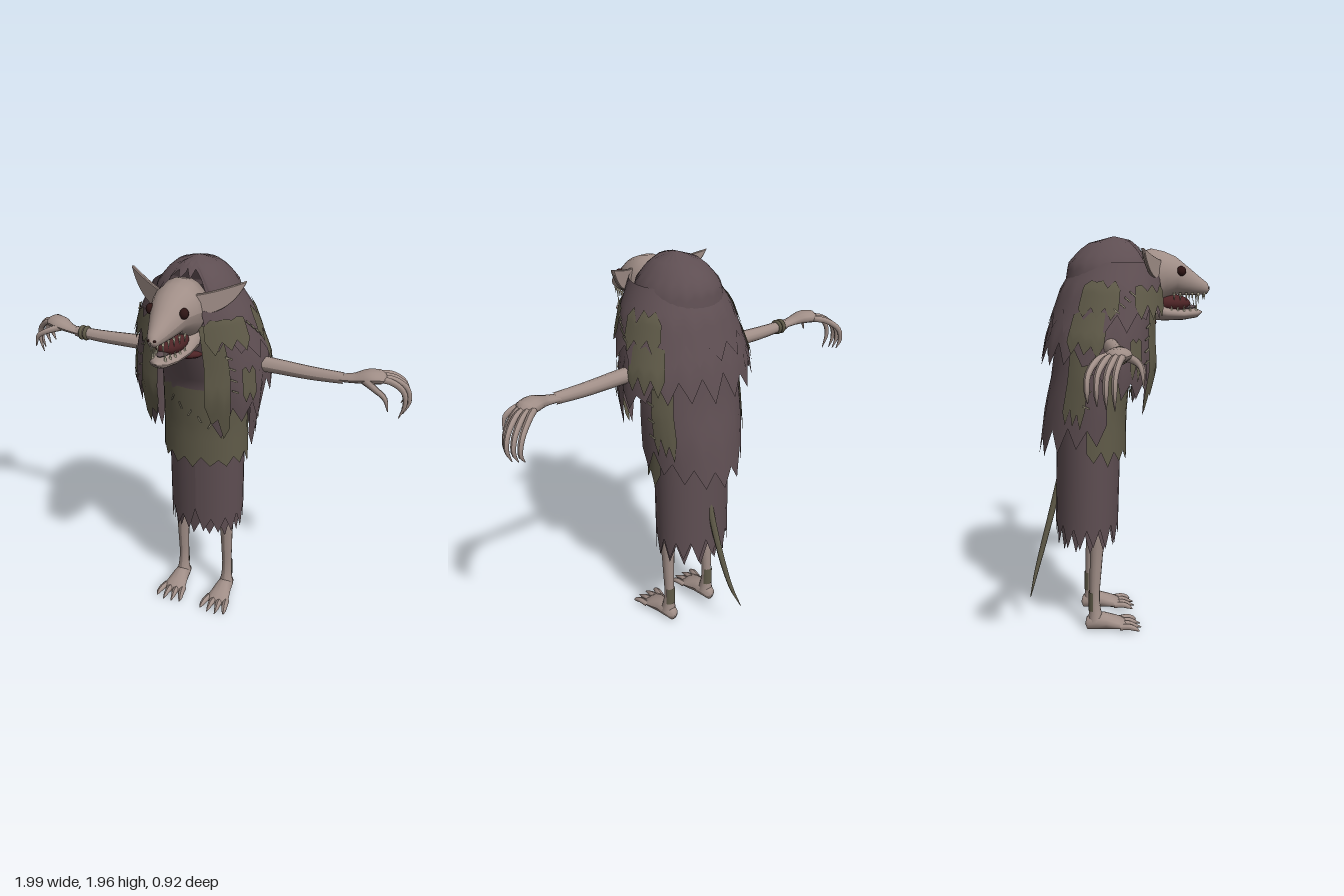
import * as THREE from 'three';

const paint = (name, color, side = THREE.FrontSide) => {
  const m = new THREE.MeshStandardMaterial({ color, side });
  m.name = name;
  return m;
};

export function createModel() {
  const model = new THREE.Group();
  model.name = 'hoodedRatCreature';
  const plum = paint('plum cloth', 0x5e4e52, THREE.DoubleSide);
  const olive = paint('olive cloth', 0x5f5a48, THREE.DoubleSide);
  const skin = paint('pale skin', 0xa08e87);
  const mouthRed = paint('mouth red', 0x4e2426);
  const eyeDark = paint('eye dark', 0x2e1514);
  const ivory = paint('tooth ivory', 0xcfc6ae);
  const thread = paint('thread', 0x8d8672);

  let seed = 7;
  const rnd = () => (seed = (seed * 16807) % 2147483647) / 2147483647;
  const add = (name, geo, mat) => {
    const m = new THREE.Mesh(geo, mat);
    m.name = name;
    model.add(m);
    return m;
  };
  const gridMesh = (name, pos, rows, cols, mat) => {
    const idx = [];
    for (let i = 0; i < rows; i++) for (let j = 0; j < cols; j++) {
      const a = i * (cols + 1) + j, b = a + cols + 1;
      idx.push(a, a + 1, b, a + 1, b + 1, b);
    }
    const g = new THREE.BufferGeometry();
    g.setAttribute('position', new THREE.Float32BufferAttribute(pos, 3));
    g.setIndex(idx);
    g.computeVertexNormals();
    return add(name, g, mat);
  };

  // Elliptical cloth profiles, top to bottom: [y, centre z, radius x, radius z]
  const hoodP = [[1.962, -0.02, 0.005, 0.005], [1.945, -0.03, 0.08, 0.09], [1.9, -0.035, 0.135, 0.15], [1.84, -0.04, 0.185, 0.2], [1.75, -0.045, 0.215, 0.21], [1.6, -0.04, 0.26, 0.23]];
  const capeletP = [[1.85, 0, 0.19, 0.2], [1.72, -0.03, 0.265, 0.25], [1.5, -0.06, 0.34, 0.3]];
  const shoulderP = [[1.75, -0.04, 0.2, 0.2], [1.65, -0.06, 0.28, 0.24], [1.5, -0.09, 0.33, 0.265], [1.35, -0.1, 0.345, 0.285], [1.05, -0.1, 0.31, 0.22]];
  const capeP = [[1.7, -0.1, 0.22, 0.18], [1.3, -0.13, 0.265, 0.2], [1.15, -0.14, 0.262, 0.225], [0.85, -0.15, 0.245, 0.255]];
  const robeP = [[1.62, -0.02, 0.19, 0.2], [1.35, -0.1, 0.21, 0.16], [1.1, -0.13, 0.22, 0.17], [0.85, -0.135, 0.228, 0.175]];
  const skirtP = [[1.2, -0.14, 0.195, 0.16], [0.95, -0.15, 0.2, 0.16], [0.4, -0.165, 0.2, 0.16]];

  // Point on a profile; angle in degrees, 0 at the front
  const onCloth = (prof, y, deg, off = 0) => {
    let k = 0;
    while (k < prof.length - 2 && y < prof[k + 1][0]) k++;
    const p = prof[k], q = prof[k + 1];
    const t = THREE.MathUtils.clamp((p[0] - y) / (p[0] - q[0]), 0, 1);
    const [cz, rx, rz] = [1, 2, 3].map(i => p[i] + (q[i] - p[i]) * t);
    const a = deg * Math.PI / 180;
    return [(rx + off) * Math.sin(a), y, cz + (rz + off) * Math.cos(a)];
  };

  // Ragged cloth between two angles; top and bottom may depend on the angle
  const cloth = (name, mat, prof, from, to, top, bottom, teeth, depth, off = 0, topDepth = 0) => {
    const cols = teeth * 2, rows = 10, pos = [], ends = [];
    const at = (v, d) => typeof v === 'function' ? v(Math.abs(d > 180 ? d - 360 : d)) : v;
    for (let j = 0; j <= cols; j++) {
      const d = from + (to - from) * j / cols;
      const jag = j % 2 ? -rnd() * 0.025 : depth * (0.6 + 0.4 * rnd());
      ends.push([d, at(top, d) - (j % 2 ? 0 : topDepth * rnd()), at(bottom, d) + jag]);
    }
    for (let i = 0; i <= rows; i++) for (const [d, t, b] of ends) pos.push(...onCloth(prof, t + (b - t) * i / rows, d, off));
    gridMesh(name, pos, rows, cols, mat);
  };

  // Tapered tube through points [x, y, z, radius]
  const limb = (name, mat, pts, radial = 10, flat = 1, n = 14) => {
    const curve = new THREE.CatmullRomCurve3(pts.map(p => new THREE.Vector3(p[0], p[1], p[2])));
    const g = new THREE.TubeGeometry(curve, n, 1, radial);
    const v = g.attributes.position;
    for (let i = 0; i <= n; i++) {
      const u = curve.getUtoTmapping(i / n), c = curve.getPoint(u);
      const k = Math.min(Math.floor(u * (pts.length - 1)), pts.length - 2), f = u * (pts.length - 1) - k;
      const r = pts[k][3] + (pts[k + 1][3] - pts[k][3]) * f;
      for (let j = 0; j <= radial; j++) {
        const q = i * (radial + 1) + j;
        v.setXYZ(q, c.x + (v.getX(q) - c.x) * r, c.y + (v.getY(q) - c.y) * r * flat, c.z + (v.getZ(q) - c.z) * r);
      }
    }
    g.computeVertexNormals();
    return add(name, g, mat);
  };

  // Loft of ellipses along z: [z, centre y, radius x, radius y]
  const loft = (name, mat, secs, cx = 0, n = 18) => {
    const pos = [];
    for (const [z, y, rx, ry] of secs) for (let j = 0; j <= n; j++) {
      const a = j / n * Math.PI * 2;
      pos.push(cx + rx * Math.cos(a), y + ry * Math.sin(a), z);
    }
    return gridMesh(name, pos, secs.length - 1, n, mat);
  };
  const ball = (name, mat, x, y, z, sx, sy, sz) => {
    const m = add(name, new THREE.SphereGeometry(1, 14, 10), mat);
    m.position.set(x, y, z);
    m.scale.set(sx, sy, sz);
  };

  // Layered robe
  cloth('skirt', plum, skirtP, 0, 360, 1.2, d => d < 10 ? 0.52 : 0.47, 15, 0.11);
  cloth('underSkirt', plum, skirtP, 8, 368, 0.8, 0.44, 13, 0.13, -0.012);
  cloth('chest', plum, robeP, -100, 100, 1.62, 1.33, 10, 0);
  cloth('tunic', olive, robeP, -105, 105, 1.335, 0.9, 9, 0.055);
  cloth('backCape', plum, capeP, 75, 285, 1.68, d => 1.0 - Math.max(0, d - 100) * 0.0011, 9, 0.1);
  cloth('shoulderCape', plum, shoulderP, 24, 336, 1.75, d => d < 42 ? 1.13 : d < 75 ? 1.22 : d < 110 ? 1.32 : 1.38, 16, 0.11);
  cloth('capelet', plum, capeletP, 28, 332, 1.84, d => d < 60 ? 1.6 : 1.54, 15, 0.09);
  cloth('hood', plum, hoodP, 0, 360, 1.962, d => d < 32 ? 1.9 : d < 45 ? 1.7 : 1.64, 18, 0.025);

  // Olive drapes and patches on both sides
  for (const s of [1, -1]) {
    cloth('frontDrape', olive, shoulderP, s * 20, s * 41, 1.7, d => 1.24 - (d - 20) * 0.006, 2, 0.08, 0.008);
    cloth('collarPatch', olive, capeletP, s * 27, s * 72, 1.74, 1.6, 3, 0.05, 0.006, 0.04);
    cloth('shoulderPatch', olive, capeletP, s * 88, s * 128, 1.76, 1.6, 3, 0.05, 0.006, 0.06);
    cloth('upperBackPatch', olive, shoulderP, s * 92, s * 130, 1.62, 1.43, 3, 0.06, 0.006, 0.04);
    cloth('backPatch', olive, capeP, s * 102, s * 130, 1.5, 1.09, 3, 0.09, 0.006, 0.08);
    cloth('sidePatch', olive, shoulderP, s * 52, s * 66, 1.5, 1.32, 2, 0.06, 0.006, 0.06);
  }

  // Stitches
  const stitch = (prof, y, deg, tilt) => {
    const m = add('stitch', new THREE.BoxGeometry(0.007, 0.036, 0.005), thread);
    m.position.set(...onCloth(prof, y, deg, 0.009));
    m.rotation.set(0, deg * Math.PI / 180, tilt, 'YXZ');
  };
  for (let i = 0; i < 6; i++) stitch(robeP, 1.26 - i * 0.03, -28 + i * 13, i % 2 ? 0.5 : -0.5);
  for (const s of [1, -1]) for (let i = 0; i < 4; i++) {
    stitch(shoulderP, 1.55 - i * 0.055, s * (42 + i), s * 1.1);
    stitch(capeP, 1.42 - i * 0.08, s * 101, 1.2);
    stitch(capeletP, 1.7 - i * 0.025, s * (75 + i * 5), 0.9);
  }

  // Head, jaw and mouth
  limb('neck', skin, [[0, 1.52, -0.02, 0.1], [0, 1.62, 0.05, 0.09], [0, 1.72, 0.12, 0.09]]);
  loft('head', skin, [[0.02, 1.74, 0.05, 0.07], [0.08, 1.755, 0.1, 0.13], [0.16, 1.768, 0.115, 0.14], [0.22, 1.78, 0.112, 0.115], [0.28, 1.778, 0.09, 0.092], [0.34, 1.753, 0.066, 0.07], [0.4, 1.73, 0.043, 0.045], [0.44, 1.717, 0.026, 0.028], [0.455, 1.713, 0.002, 0.002]]);
  loft('lowerJaw', skin, [[0.08, 1.64, 0.07, 0.07], [0.16, 1.625, 0.092, 0.06], [0.23, 1.6, 0.08, 0.038], [0.32, 1.592, 0.062, 0.028], [0.39, 1.597, 0.042, 0.022], [0.42, 1.603, 0.002, 0.002]]);
  ball('mouthInside', mouthRed, 0, 1.645, 0.25, 0.066, 0.045, 0.11);
  ball('tongue', plum, 0, 1.628, 0.31, 0.028, 0.014, 0.08);
  ball('throatCollar', mouthRed, 0, 1.555, 0.12, 0.095, 0.03, 0.07);
  const tooth = (x, y, z, h) => {
    const m = add('tooth', new THREE.ConeGeometry(0.007, Math.abs(h), 6), ivory);
    m.position.set(x, y + h / 2, z);
    if (h < 0) m.rotation.x = Math.PI;
  };
  for (const s of [1, -1]) {
    for (let i = 0; i < 6; i++) {
      const z = 0.265 + i * 0.032;
      tooth(s * (0.068 - i * 0.0105), 1.698, z, i === 4 ? -0.06 : -0.04);
      if (i < 5) tooth(s * (0.062 - i * 0.008), 1.605, z - 0.01, i === 4 ? 0.055 : 0.035);
    }
    ball('eye', eyeDark, s * 0.079, 1.8, 0.295, 0.02, 0.024, 0.024);
    ball('nostril', eyeDark, s * 0.014, 1.72, 0.446, 0.006, 0.006, 0.006);

    // Pointed ear
    const ear = new THREE.Shape();
    ear.moveTo(0, 0.05);
    ear.quadraticCurveTo(s * 0.09, 0.06, s * 0.215, 0.1);
    ear.quadraticCurveTo(s * 0.16, -0.01, s * 0.06, -0.03);
    ear.lineTo(0, -0.01);
    const e = add('ear', new THREE.ExtrudeGeometry(ear, { depth: 0.008, bevelThickness: 0.004, bevelSize: 0.003, bevelSegments: 1, curveSegments: 8 }), skin);
    e.position.set(s * 0.085, 1.8, 0.185);
    e.rotation.y = s * 0.53;

    // Arm, hand and curled fingers
    limb('arm', skin, [[s * 0.2, 1.47, -0.07, 0.04], [s * 0.35, 1.468, -0.07, 0.036], [s * 0.55, 1.463, -0.07, 0.031], [s * 0.7, 1.466, -0.07, 0.026]], 12);
    limb('palm', skin, [[s * 0.68, 1.465, -0.07, 0.027], [s * 0.75, 1.475, -0.075, 0.035], [s * 0.81, 1.487, -0.09, 0.052], [s * 0.86, 1.485, -0.11, 0.05], [s * 0.885, 1.48, -0.12, 0.005]], 12, 0.6);
    for (let k = 0; k < 4; k++) {
      const z = -0.075 - 0.023 * k, e2 = -0.125 - 0.034 * k, x = 0.987 - 0.012 * Math.abs(k - 1);
      limb('finger', skin, [[s * 0.84, 1.485, z, 0.016], [s * (x - 0.075), 1.475, (z + e2) / 2, 0.015], [s * (x - 0.015), 1.425, e2, 0.013], [s * x, 1.36, e2 - 0.005, 0.011], [s * (x - 0.02), 1.29 + 0.01 * k, e2, 0.002]], 7);
    }
    limb('thumb', skin, [[s * 0.78, 1.48, -0.07, 0.02], [s * 0.85, 1.46, -0.025, 0.015], [s * 0.9, 1.43, -0.012, 0.012], [s * 0.92, 1.37, -0.012, 0.002]], 7);

    // Leg, ankle wrap and clawed foot
    limb('leg', skin, [[s * 0.11, 0.75, -0.13, 0.06], [s * 0.125, 0.55, -0.12, 0.047], [s * 0.13, 0.4, -0.125, 0.033], [s * 0.132, 0.2, -0.135, 0.026], [s * 0.133, 0.12, -0.135, 0.027], [s * 0.133, 0.05, -0.13, 0.04]], 12);
    const wrap = add('ankleWrap', new THREE.CylinderGeometry(0.03, 0.032, 0.1, 10, 1, true, Math.PI * 0.62, Math.PI * 0.76), olive);
    wrap.position.set(s * 0.133, 0.155, -0.136);
    loft('foot', skin, [[-0.185, 0.03, 0.002, 0.002], [-0.175, 0.035, 0.028, 0.033], [-0.13, 0.045, 0.04, 0.045], [-0.08, 0.042, 0.047, 0.042], [-0.02, 0.03, 0.06, 0.03], [0.02, 0.02, 0.062, 0.02], [0.04, 0.014, 0.002, 0.002]], s * 0.133, 12);
    for (let k = 0; k < 4; k++) {
      const d = (k - 1.5) * 0.033, l = 0.1 - 0.015 * Math.abs(k - 1.5);
      limb('toe', skin, [[s * 0.133 + d, 0.024, -0.01, 0.018], [s * 0.133 + d * 1.2, 0.026, 0.04, 0.017], [s * 0.133 + d * 1.35, 0.016, 0.07, 0.012], [s * 0.133 + d * 1.4, 0.005, l + 0.01, 0.002]], 7, 0.9);
    }
  }

  // Bracelets on the right wrist
  for (const x of [-0.64, -0.665]) {
    const b = add('bracelet', new THREE.TorusGeometry(0.028, 0.01, 8, 16), olive);
    b.position.set(x, 1.465, -0.07);
    b.rotation.y = Math.PI / 2;
  }

  // Tail
  limb('tail', olive, [[0.01, 0.8, -0.29, 0.016], [0, 0.62, -0.335, 0.016], [-0.02, 0.42, -0.39, 0.014], [-0.045, 0.28, -0.43, 0.01], [-0.085, 0.17, -0.46, 0.002]], 8);
  return model;
}
